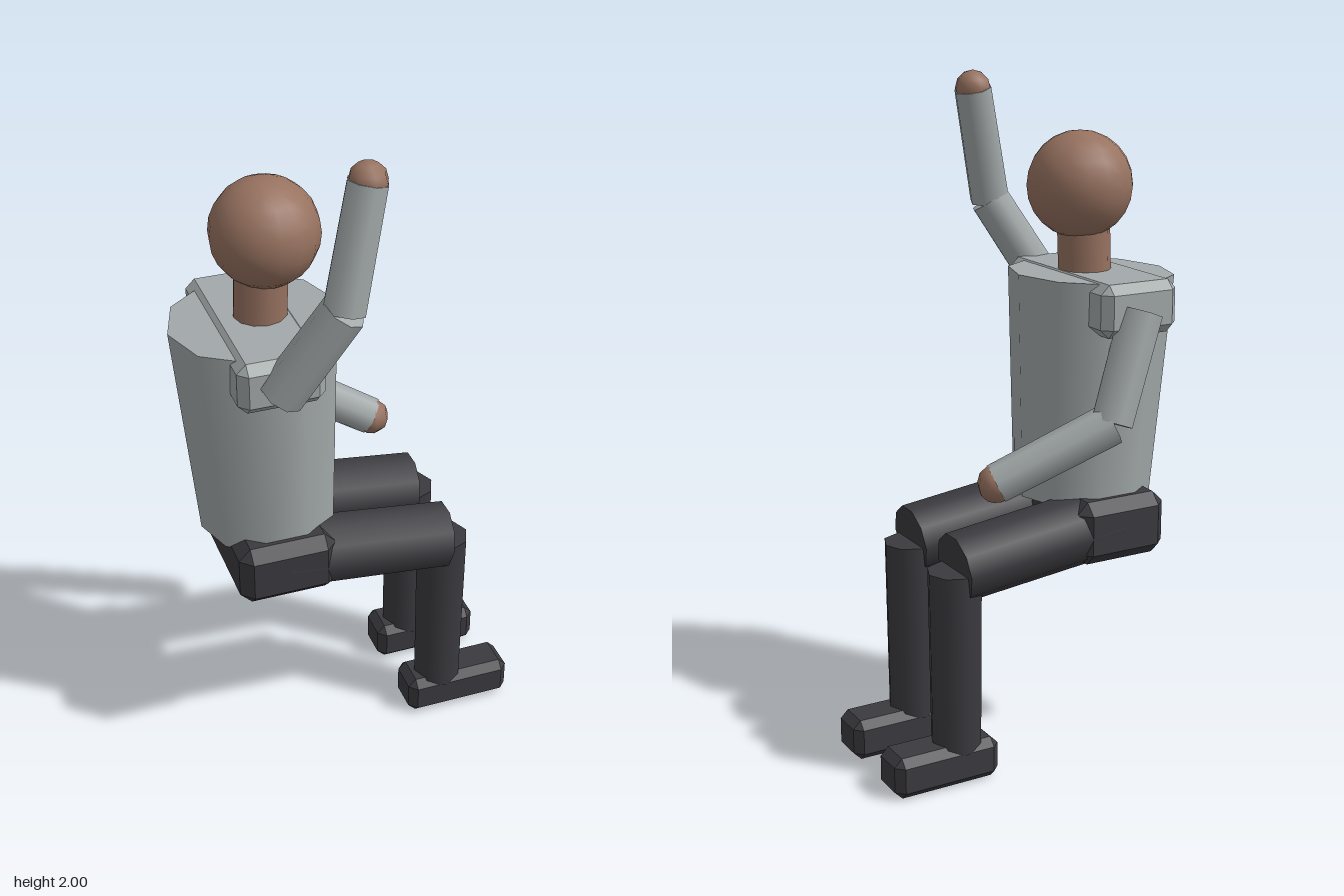
import * as THREE from 'three';
import { ConvexGeometry } from 'three/addons/geometries/ConvexGeometry.js';

// Seated figure looking along +x, with one arm raised
export function createModel() {
  const group = new THREE.Group();
  const mat = (name, color) => new THREE.MeshStandardMaterial({ name, color });
  const skin = mat('skin', 0x977260);
  const shirt = mat('shirt', 0xa3a9aa);
  const trousers = mat('trousers', 0x3b3a3f);
  const midZ = -0.027;

  const add = (name, geometry, material, position) => {
    const mesh = new THREE.Mesh(geometry, material);
    mesh.name = name;
    mesh.position.set(...position);
    group.add(mesh);
    return mesh;
  };

  // Tapered cylinder running from point a to point b
  const limb = (name, a, b, ra, rb, sides, material, twist = 0) => {
    const start = new THREE.Vector3(...a);
    const dir = new THREE.Vector3(...b).sub(start);
    const geometry = new THREE.CylinderGeometry(rb, ra, dir.length(), sides);
    geometry.rotateY(twist);
    const centre = start.clone().addScaledVector(dir, 0.5);
    const mesh = add(name, geometry, material, centre.toArray());
    mesh.quaternion.setFromUnitVectors(new THREE.Vector3(0, 1, 0), dir.normalize());
  };

  // Box with chamfered edges
  const chamferBox = (name, size, c, material, position) => {
    const [x, y, z] = size.map((s) => s / 2);
    const points = [];
    for (const i of [-1, 1]) for (const j of [-1, 1]) for (const k of [-1, 1]) {
      points.push(
        new THREE.Vector3(i * x, j * (y - c), k * (z - c)),
        new THREE.Vector3(i * (x - c), j * y, k * (z - c)),
        new THREE.Vector3(i * (x - c), j * (y - c), k * z));
    }
    add(name, new ConvexGeometry(points), material, position);
  };

  // Head, neck and trunk
  add('head', new THREE.SphereGeometry(0.155, 16, 12), skin, [-0.215, 1.69, midZ]);
  limb('neck', [-0.236, 1.4, midZ], [-0.228, 1.6, midZ], 0.077, 0.077, 12, skin);
  limb('torso', [-0.23, 0.767, midZ], [-0.256, 1.435, midZ], 0.205, 0.244, 10, shirt, Math.PI / 2);
  chamferBox('shoulders', [0.25, 0.153, 0.56], 0.027, shirt, [-0.255, 1.367, midZ]);
  chamferBox('hips', [0.295, 0.19, 0.49], 0.035, trousers, [-0.235, 0.705, midZ]);

  // Legs
  for (const [side, s] of [['left', 1], ['right', -1]]) {
    const z = midZ + s * 0.14;
    limb(side + 'Thigh', [-0.235, 0.71, z], [0.277, 0.651, z], 0.107, 0.103, 10, trousers);
    limb(side + 'Shin', [0.278, 0.1, z], [0.278, 0.646, z], 0.076, 0.081, 8, trousers);
    chamferBox(side + 'Foot', [0.335, 0.125, 0.139], 0.024, trousers, [0.333, 0.0625, z]);
  }

  // Arms: shoulder, elbow and wrist points
  const arms = {
    left: [[-0.265, 1.345, 0.25], [-0.112, 1.61, 0.322], [-0.036, 1.945, 0.285]],
    right: [[-0.255, 1.36, -0.295], [-0.14, 1.06, -0.33], [0.17, 0.9, -0.217]],
  };
  for (const [side, [shoulder, elbow, wrist]] of Object.entries(arms)) {
    limb(side + 'UpperArm', shoulder, elbow, 0.066, 0.063, 8, shirt);
    limb(side + 'Forearm', elbow, wrist, 0.061, 0.057, 8, shirt);
    add(side + 'Hand', new THREE.SphereGeometry(0.055, 8, 6), skin, wrist);
  }
  return group;
}
